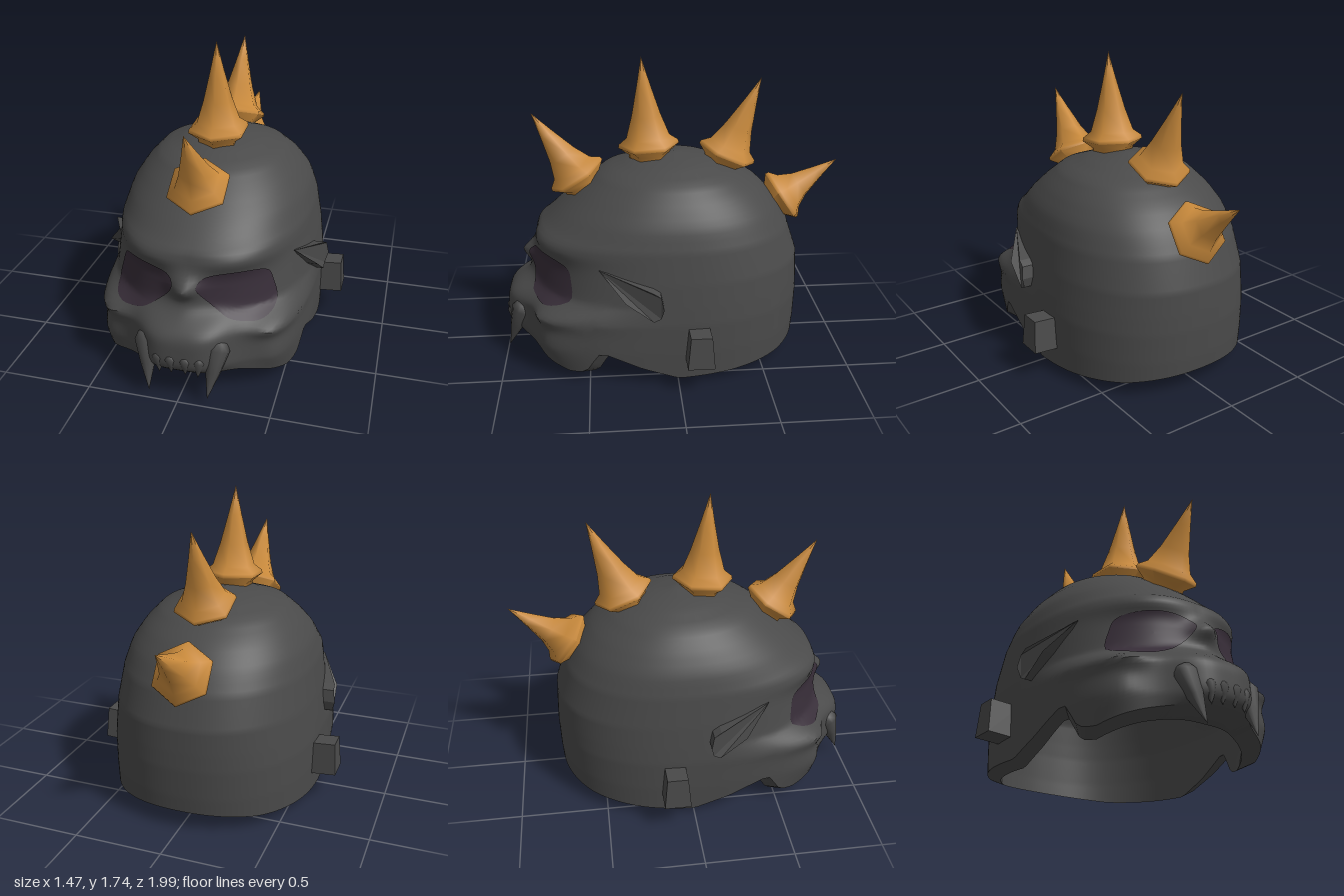
import * as THREE from 'three';
import { toCreasedNormals } from 'three/addons/utils/BufferGeometryUtils.js';

const mat = (name, color) => Object.assign(new THREE.MeshStandardMaterial({ color }), { name });
const clamp = THREE.MathUtils.clamp;

// Piecewise linear lookup in rows [key, value, ...], keys ascending
function lookup(rows, k, col = 1) {
  if (k <= rows[0][0]) return rows[0][col];
  for (let i = 1; i < rows.length; i++) {
    const a = rows[i - 1], b = rows[i];
    if (k <= b[0]) return a[col] + (b[col] - a[col]) * (k - a[0]) / (b[0] - a[0]);
  }
  return rows[rows.length - 1][col];
}

// Skull levels: y, half width, front z, back z, squareness of front and back
const LEVELS = [
  [0, .6, .83, -.74, 3, 2.3], [.2, .605, .86, -.755, 3, 2.3], [.37, .603, .85, -.76, 3, 2.3],
  [.47, .593, .84, -.757, 2.25, 2.3], [.6, .578, .825, -.75, 2.2, 2.3],
  [.78, .55, .78, -.69, 2.25, 2.25], [.9, .515, .65, -.62, 2.2, 2.2], [1, .45, .53, -.53, 2.15, 2.15],
  [1.09, .365, .41, -.4, 2.1, 2.1], [1.155, .21, .22, -.24, 2, 2], [1.19, 0, -.02, -.02, 2, 2],
];
// Height of the open lower edge along z
const RIM = [[-.75, .075], [-.6, .045], [-.3, .02], [0, 0], [.2, .07], [.385, .165], [.41, .165],
  [.51, .04], [.6, .025], [.75, .08], [.86, .125]];
// Face relief: |x|, y, spread x, spread y, push along z, power
const RELIEF = [
  [0, .29, .24, .16, .13, 4],      // muzzle
  [0, .6, .075, .055, .06, 2],     // nose tip
  [.26, .55, .2, .125, -.03, 4],   // eye socket
  [.3, .74, .22, .045, .03, 2],    // brow
  [.5, .38, .13, .055, .07, 2],    // cheekbone
  [.5, .22, .09, .14, .06, 2],     // jaw corner
];
const ZC = -.02, EDGE = .035, WALL = .885;

function relief(x, y, z) {
  let sum = 0;
  for (const [cx, cy, sx, sy, amp, p] of RELIEF)
    sum += amp * Math.exp(-(Math.abs((Math.abs(x) - cx) / sx) ** p) - Math.abs((y - cy) / sy) ** p);
  return sum * clamp((z - ZC) / .4, 0, 1);
}

// Point on the skull at an angle around y and a height
function skullBase(a, y) {
  const s = Math.sin(a), c = Math.cos(a), n = lookup(LEVELS, y, c > 0 ? 4 : 5);
  const r = (Math.abs(s) ** n + Math.abs(c) ** n) ** (-1 / n);
  const d = c > 0 ? lookup(LEVELS, y, 2) - ZC : ZC - lookup(LEVELS, y, 3);
  return [lookup(LEVELS, y) * s * r, ZC + d * c * r];
}

// Front surface depth at x, y
function faceZ(x, y) {
  const n = lookup(LEVELS, y, 4), t = Math.min(1, Math.abs(x) / lookup(LEVELS, y));
  const z = ZC + (lookup(LEVELS, y, 2) - ZC) * (1 - t ** n) ** (1 / n);
  return z + relief(x, y, z);
}

// Hollow shell: inner wall from crown to edge, then outer wall back up
function shellGeometry() {
  const N = 144, heights = [], pos = [], idx = [];
  for (let i = 0; i < 40; i++) heights.push(i * .02);
  for (let i = 0; i <= 15; i++) heights.push(.8 + .39 * (1 - (1 - i / 15) ** 1.5));
  const rows = [...heights.map((h) => [h, true]).reverse(), ...heights.map((h) => [h, false])];
  for (const [h, inner] of rows) for (let i = 0; i <= N; i++) {
    const a = i / N * Math.PI * 2;
    const b = lookup(RIM, skullBase(a, .15)[1]), low = b + EDGE;
    const y = h < .6 ? low + h / .6 * (.6 - low) : h;
    const [x, z] = skullBase(a, y), push = relief(x, y, z);
    if (inner) pos.push(x * WALL, b + (y - low) * .94, (z + push * .5) * WALL);
    else pos.push(x, y, z + push);
  }
  const last = rows.length - 1;
  for (let j = 0; j < last; j++) for (let i = 0; i < N; i++) {
    const p = j * (N + 1) + i, q = p + N + 1;
    // Each crown row is a single point, so it takes one triangle per column
    if (j > 0) idx.push(p, p + 1, q + 1);
    if (j < last - 1) idx.push(p, q + 1, q);
  }
  const g = new THREE.BufferGeometry();
  g.setAttribute('position', new THREE.Float32BufferAttribute(pos, 3));
  g.setIndex(idx);
  return toCreasedNormals(g, .75);
}

// Thin eye patch that follows the face
function eyeGeometry(side) {
  const outline = [[.065, .62], [.1, .66], [.25, .685], [.39, .655], [.425, .58], [.445, .45],
    [.38, .42], [.25, .44], [.15, .5], [.09, .56]].map(([x, y]) => new THREE.Vector3(x * side, y, 0));
  // Keep both outlines running the same way round
  if (side > 0) outline.reverse();
  const ring = new THREE.CatmullRomCurve3(outline, true).getPoints(48);
  const R = 10, W = ring.length, pos = [], idx = [];
  for (let r = 0; r <= R; r++) for (const p of ring) {
    const x = side * .26 + (p.x - side * .26) * r / R, y = .56 + (p.y - .56) * r / R;
    pos.push(x, y, faceZ(x, y) + .009);
  }
  for (let r = 0; r < R; r++) for (let i = 0; i < W - 1; i++) {
    const p = r * W + i, q = p + W;
    idx.push(p, q, q + 1, p, q + 1, p + 1);
  }
  const g = new THREE.BufferGeometry();
  g.setAttribute('position', new THREE.Float32BufferAttribute(pos, 3));
  g.setIndex(idx);
  g.computeVertexNormals();
  return g;
}

// Swept-back ear, flush at the front and flaring toward the rear
function earGeometry(side) {
  const shape = new THREE.Shape([[.43, .68], [.14, .595], [.1, .57], [.085, .5], [.1, .44], [.14, .42], [.29, .53]]
    .map(([z, y]) => new THREE.Vector2(z, y)));
  const g = new THREE.ExtrudeGeometry(shape, { depth: 1, bevelEnabled: false });
  // z, outer x, inner x
  const flare = [[.08, .655, .565], [.14, .67, .565], [.3, .62, .54], [.44, .54, .5]];
  const p = g.attributes.position;
  for (let i = 0; i < p.count; i++) {
    const z = p.getX(i), y = p.getY(i), out = p.getZ(i) > .5;
    const x = out ? lookup(flare, z) - clamp(Math.abs(y - .51) - .03, 0, .07) * .55 : lookup(flare, z, 2);
    p.setXYZ(i, x * side, y, z);
  }
  // The axis swap mirrors the solid, so restore the corner order on the left
  if (side > 0) for (let i = 0; i < p.count; i += 3) {
    const a = new THREE.Vector3().fromBufferAttribute(p, i + 1);
    p.setXYZ(i + 1, p.getX(i + 2), p.getY(i + 2), p.getZ(i + 2));
    p.setXYZ(i + 2, a.x, a.y, a.z);
  }
  g.computeVertexNormals();
  return g;
}

// Block bolt, narrower at the top
function boltGeometry() {
  const g = new THREE.BoxGeometry(.17, .185, .15).toNonIndexed();
  const p = g.attributes.position;
  for (let i = 0; i < p.count; i++) if (p.getY(i) > 0) p.setZ(i, p.getZ(i) * .78);
  g.computeVertexNormals();
  return g;
}

// Pointed tooth with a rounded root
function toothGeometry(r, h) {
  const profile = [[0, -r], [r * .7, -r * .6], [r, 0], [r * .62, h * .45], [0, h]];
  return new THREE.LatheGeometry(profile.map(([x, y]) => new THREE.Vector2(x, y)), 10);
}

export function createModel() {
  const bone = mat('charcoalBone', 0x4a4a4a);
  const horn = mat('amberHorn', 0xc98a3c);
  const dark = mat('darkEye', 0x372d38);
  const model = new THREE.Group();
  const add = (name, geo, material) => {
    const m = new THREE.Mesh(geo, material);
    m.name = name;
    model.add(m);
    return m;
  };
  // Stand a mesh on a base point, pointing at its tip
  const aim = (mesh, base, tip) => {
    const from = new THREE.Vector3(...base), dir = new THREE.Vector3(...tip).sub(from).normalize();
    mesh.position.copy(from);
    mesh.quaternion.setFromUnitVectors(new THREE.Vector3(0, 1, 0), dir);
  };

  add('skullShell', shellGeometry(), bone);

  // Crest of six-sided spikes: base z, y and tip z, y
  const spikes = [[.5, .985, .79, 1.43], [.12, 1.145, .165, 1.74], [-.3, 1.09, -.52, 1.61], [-.6, .84, -.99, 1.11]];
  for (const [bz, by, tz, ty] of spikes) {
    const len = Math.hypot(tz - bz, ty - by);
    const profile = [[0, -.05], [.11, -.05], [.12, .035], [.177, .08], [.172, .1], [.125, .135],
      [.083, len * .44], [.04, len * .72], [0, len]].map(([r, y]) => new THREE.Vector2(r, y));
    const spike = add('crestSpike', toCreasedNormals(new THREE.LatheGeometry(profile, 6), 1.15), horn);
    aim(spike, [0, by, bz], [0, ty, tz]);
  }

  for (const side of [1, -1]) {
    const label = side > 0 ? 'left' : 'right';
    add(label + 'Eye', eyeGeometry(side), dark);
    add(label + 'Ear', earGeometry(side), bone);
    const bolt = add(label + 'Bolt', boltGeometry(), bone);
    bolt.position.set(side * .643, .258, -.112);
    bolt.rotation.z = side * .07;
    // Long fang and small front teeth
    const tooth = (name, r, base, tip) => {
      const h = new THREE.Vector3(...base).distanceTo(new THREE.Vector3(...tip));
      aim(add(name, toothGeometry(r, h), bone), base, tip);
    };
    tooth(label + 'Fang', .065, [side * .195, .3, .89], [side * .16, .04, .985]);
    tooth(label + 'InnerTooth', .035, [side * .04, .25, .965], [side * .038, .16, .965]);
    tooth(label + 'OuterTooth', .035, [side * .11, .25, .955], [side * .105, .15, .96]);
  }
  return model;
}
